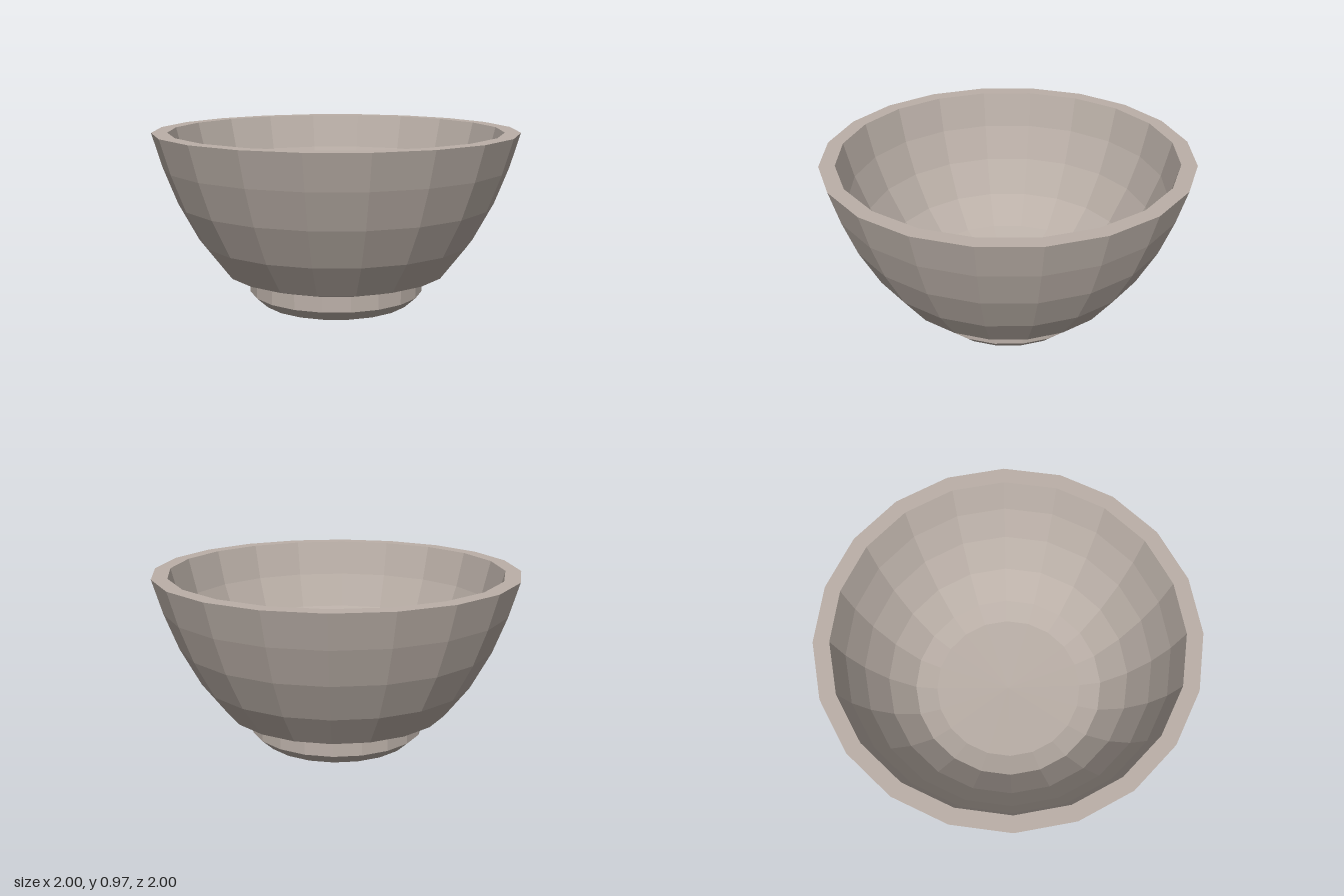
import * as THREE from 'three';

const SIDES = 20;
const HALF = Math.PI / SIDES;

// Faceted ring surface; profile holds [distance to the flat, height], flats face the axes
function facetedLathe(name, profile, material) {
  const points = profile.map(([r, y]) => new THREE.Vector2(r / Math.cos(HALF), y));
  const geometry = new THREE.LatheGeometry(points, SIDES, HALF).toNonIndexed();
  geometry.computeVertexNormals();
  const mesh = new THREE.Mesh(geometry, material);
  mesh.name = name;
  return mesh;
}

export function createModel() {
  const group = new THREE.Group();
  group.name = 'bowl';

  const clay = new THREE.MeshStandardMaterial({ color: 0xbbb0a8 });
  clay.name = 'warm grey clay';

  // Foot with a bevelled lower edge and closed base
  group.add(facetedLathe('foot', [[0, 0], [0.42, 0], [0.485, 0.06], [0.485, 0.145]], clay));

  // Outer wall, from the shallow underside up to the lip
  group.add(facetedLathe('outerWall', [
    [0.485, 0.145], [0.625, 0.19], [0.76, 0.37], [0.87, 0.58], [0.945, 0.78], [1, 0.97],
  ], clay));

  // Flat rim
  group.add(facetedLathe('rim', [[1, 0.97], [0.915, 0.97]], clay));

  // Inner wall, running down to the floor
  group.add(facetedLathe('innerWall', [
    [0.915, 0.97], [0.865, 0.77], [0.79, 0.575], [0.68, 0.38], [0.54, 0.225],
  ], clay));

  // Slightly dished floor
  group.add(facetedLathe('floor', [[0.54, 0.225], [0.42, 0.187], [0, 0.17]], clay));

  return group;
}
